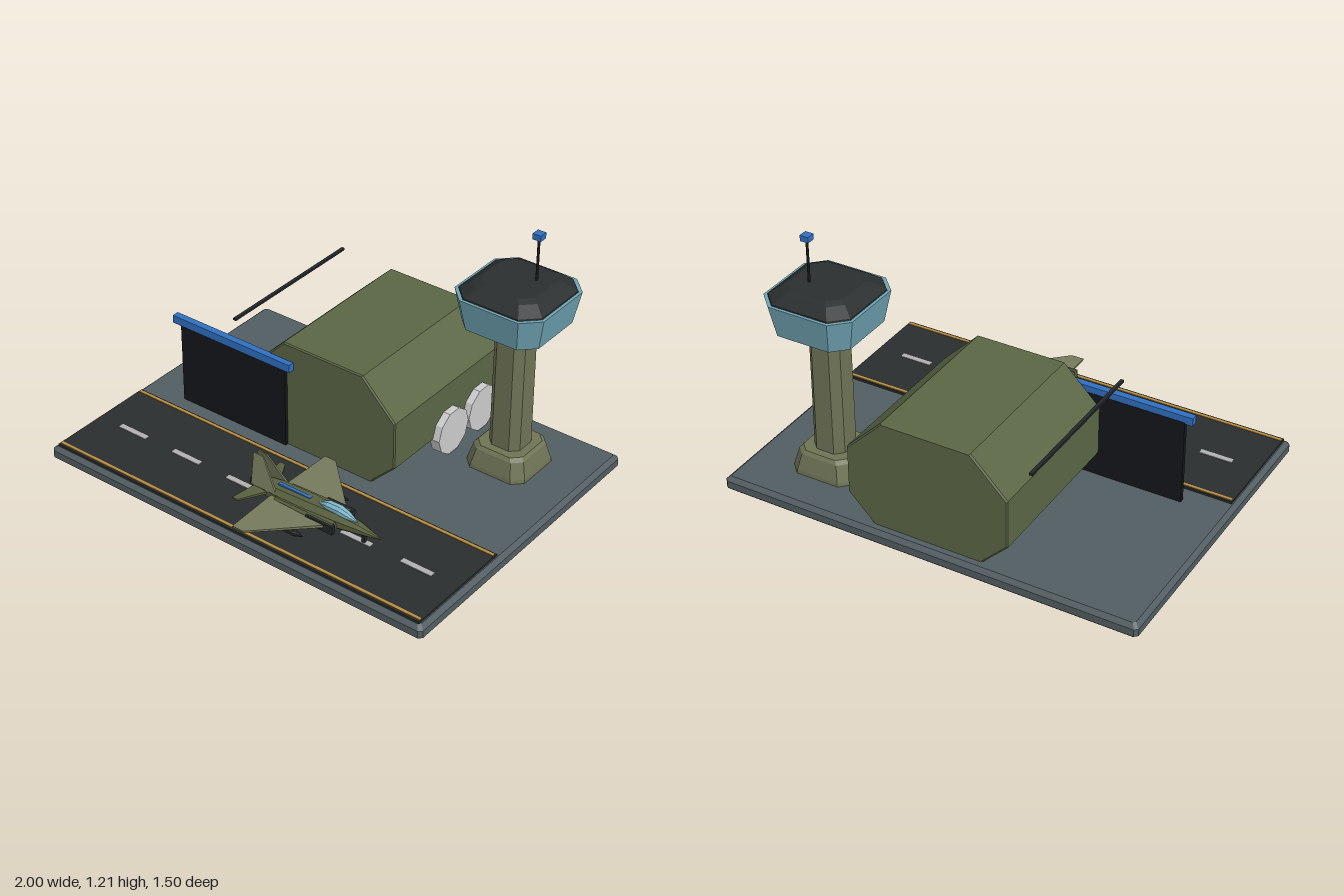
import * as THREE from 'three';

const mat = (color) => new THREE.MeshStandardMaterial({ color, flatShading: true, side: THREE.DoubleSide });
const M = {
  ground: mat(0x525d61), asphalt: mat(0x292d2d), yellow: mat(0xb98c3c), paint: mat(0xb0b0b0),
  hangar: mat(0x5a6645), dark: mat(0x14161a), blue: mat(0x2f6fc0), tower: mat(0x6e7355),
  glass: mat(0x6fa3b3), roof: mat(0x2a2e2f), grey: mat(0xcccccc),
  jet: mat(0x59603f), wing: mat(0x757a5c), canopy: mat(0x7fb9cc), metal: mat(0x24282a),
};

function add(parent, name, geometry, material, x = 0, y = 0, z = 0) {
  const mesh = new THREE.Mesh(geometry, material);
  mesh.name = name;
  mesh.position.set(x, y, z);
  parent.add(mesh);
  return mesh;
}

const box = (parent, name, material, w, h, d, x, y, z) =>
  add(parent, name, new THREE.BoxGeometry(w, h, d), material, x, y, z);

// Skin a series of equal-length convex rings and cap both ends
function loft(rings) {
  const n = rings[0].length, tris = [];
  for (let r = 0; r < rings.length - 1; r++) {
    for (let i = 0; i < n; i++) {
      const j = (i + 1) % n, [a, b] = [rings[r], rings[r + 1]];
      tris.push([a[i], a[j], b[j]], [a[i], b[j], b[i]]);
    }
  }
  const first = rings[0], last = rings[rings.length - 1];
  for (let i = 1; i < n - 1; i++) {
    tris.push([first[0], first[i + 1], first[i]], [last[0], last[i], last[i + 1]]);
  }
  // turn the faces outward whatever the ring direction
  let volume = 0;
  const [u, v, w] = [0, 1, 2].map(() => new THREE.Vector3());
  for (const [a, b, c] of tris) volume += u.fromArray(a).dot(v.fromArray(b).cross(w.fromArray(c)));
  if (volume < 0) tris.forEach((t) => t.reverse());
  const geometry = new THREE.BufferGeometry();
  geometry.setAttribute('position', new THREE.Float32BufferAttribute(tris.flat(2), 3));
  geometry.computeVertexNormals();
  return geometry;
}

// Rectangle with cut corners as [u, v] pairs
const cutRect = (hu, hv, c) => [
  [hu, hv - c], [hu - c, hv], [c - hu, hv], [-hu, hv - c],
  [-hu, c - hv], [c - hu, -hv], [hu - c, -hv], [hu, c - hv],
];

// Upright solid from [y, halfX, halfZ, cut] levels
const stack = (levels) => loft(levels.map(([y, hx, hz, c]) => cutRect(hx, hz, c).map(([x, z]) => [x, y, z])));

// Lengthwise body from [x, halfZ, halfY, centreY] stations
const hull = (stations) => loft(stations.map(([x, hz, hy, y]) =>
  cutRect(hz, hy, Math.min(hz, hy) * 0.55).map(([z, v]) => [x, y + v, z])));

function ground(g) {
  add(g, 'groundSlab', stack([
    [0, 0.98, 0.72, 0.01], [0.02, 1, 0.74, 0.015], [0.055, 1, 0.74, 0.015], [0.073, 0.98, 0.72, 0.01],
  ]), M.ground, 0, 0, -0.013);
  box(g, 'runway', M.asphalt, 1.95, 0.014, 0.54, 0, 0.076, 0.435);
  for (const z of [0.18, 0.688]) box(g, 'runwayEdgeLine', M.yellow, 1.94, 0.004, 0.014, 0, 0.084, z);
  for (let i = 0; i < 6; i++) {
    box(g, 'centreDash', M.paint, 0.155, 0.004, 0.026, -0.775 + i * 0.309, 0.084, 0.435);
  }
}

function hangar(g) {
  const ring = (z, k) => cutRect(0.384 - k, 0.287 - k, 0.172).map(([x, y]) => [x, y + 0.306, z]);
  add(g, 'hangarBody', loft([ring(-0.705, 0.005), ring(-0.698, 0), ring(0.068, 0), ring(0.075, 0.005)]), M.hangar);
  box(g, 'hangarDoor', M.dark, 0.59, 0.41, 0.022, -0.487, 0.275, 0.08);
  box(g, 'doorBeam', M.blue, 0.66, 0.038, 0.033, -0.487, 0.492, 0.087);
  box(g, 'ridgeRail', M.metal, 0.016, 0.01, 0.77, -0.49, 0.596, -0.32);
  // round vents on the side wall
  for (const z of [-0.315, -0.54]) {
    const vent = add(g, 'sideVent', new THREE.CylinderGeometry(0.11, 0.11, 0.05, 10), M.grey, 0.393, 0.187, z);
    vent.rotation.z = Math.PI / 2;
  }
}

function tower() {
  const t = new THREE.Group();
  t.name = 'controlTower';
  t.position.set(0.64, 0, -0.422);
  add(t, 'towerFoot', stack([
    [0.07, 0.15, 0.15, 0.045], [0.09, 0.148, 0.148, 0.045], [0.165, 0.128, 0.128, 0.04], [0.18, 0.115, 0.115, 0.04],
  ]), M.tower);
  add(t, 'towerShaft', stack([[0.17, 0.079, 0.079, 0.035], [0.8, 0.077, 0.077, 0.035]]), M.tower);
  add(t, 'cabWindows', stack([[0.788, 0.192, 0.192, 0.065], [0.937, 0.22, 0.22, 0.075]]), M.glass);
  add(t, 'cabRoof', stack([
    [0.93, 0.208, 0.208, 0.07], [0.942, 0.205, 0.205, 0.07], [0.978, 0.158, 0.158, 0.055], [0.989, 0.135, 0.135, 0.05],
  ]), M.roof);
  add(t, 'antennaMast', new THREE.CylinderGeometry(0.006, 0.006, 0.22, 8), M.metal, 0.062, 1.09, -0.037);
  box(t, 'antennaLamp', M.blue, 0.04, 0.027, 0.04, 0.062, 1.198, -0.037);
  return t;
}

function jet() {
  const j = new THREE.Group();
  j.name = 'jet';
  j.position.set(0, 0, 0.437);
  add(j, 'fuselage', hull([
    [-0.06, 0.032, 0.03, 0.14], [0.06, 0.052, 0.036, 0.141], [0.22, 0.054, 0.041, 0.142],
    [0.36, 0.045, 0.038, 0.145], [0.48, 0.026, 0.023, 0.145], [0.585, 0.003, 0.003, 0.14],
  ]), M.jet);
  add(j, 'canopy', hull([
    [0.27, 0.006, 0.006, 0.18], [0.32, 0.021, 0.026, 0.184], [0.38, 0.022, 0.028, 0.184],
    [0.42, 0.017, 0.02, 0.18], [0.465, 0.004, 0.005, 0.17],
  ]), M.canopy);
  box(j, 'spineStripe', M.blue, 0.17, 0.008, 0.016, 0.14, 0.182, 0);
  const nozzle = add(j, 'exhaust', new THREE.CylinderGeometry(0.03, 0.025, 0.035, 10), M.metal, -0.07, 0.142, 0);
  nozzle.rotation.z = -Math.PI / 2;

  for (const s of [1, -1]) {
    // flat surface from [xBack, xFront, thickness] at root and tip
    const slab = (z, y, xb, xf, t) => [[xb, y - t, z * s], [xf, y - t, z * s], [xf, y + t, z * s], [xb, y + t, z * s]];
    add(j, 'mainWing', loft([slab(0.03, 0.142, 0.05, 0.4, 0.007), slab(0.309, 0.142, 0.056, 0.115, 0.004)]), M.wing);
    add(j, 'tailplane', loft([slab(0.02, 0.142, -0.05, 0.035, 0.006), slab(0.158, 0.142, -0.07, -0.042, 0.004)]), M.jet);
    // tail fin leaning inward
    const fin = (y, z, xb, xf, t) => [[xb, y, z * s - t], [xf, y, z * s - t], [xf, y, z * s + t], [xb, y, z * s + t]];
    add(j, 'tailFin', loft([fin(0.155, 0.043, -0.06, 0.075, 0.005), fin(0.294, 0.011, -0.072, -0.02, 0.003)]), M.wing);
    add(j, 'airIntake', hull([
      [0.08, 0.014, 0.02, 0.137], [0.25, 0.02, 0.024, 0.137], [0.385, 0.02, 0.024, 0.137],
    ]), M.jet, 0, 0, 0.054 * s);
    box(j, 'intakeLip', M.metal, 0.14, 0.04, 0.022, 0.325, 0.136, 0.068 * s);
    // store hung below the wing
    box(j, 'pylon', M.metal, 0.08, 0.025, 0.008, 0.17, 0.13, 0.155 * s);
    add(j, 'wingStore', hull([
      [0.125, 0.006, 0.006, 0.113], [0.15, 0.014, 0.014, 0.113], [0.26, 0.014, 0.014, 0.113], [0.3, 0.002, 0.002, 0.113],
    ]), M.metal, 0, 0, 0.155 * s);
    box(j, 'mainGear', M.metal, 0.02, 0.045, 0.012, 0.15, 0.105, 0.09 * s);
  }
  box(j, 'noseGear', M.metal, 0.016, 0.055, 0.012, 0.5, 0.11, 0);
  return j;
}

export function createModel() {
  const g = new THREE.Group();
  g.name = 'airbase';
  ground(g);
  hangar(g);
  g.add(tower(), jet());
  return g;
}
